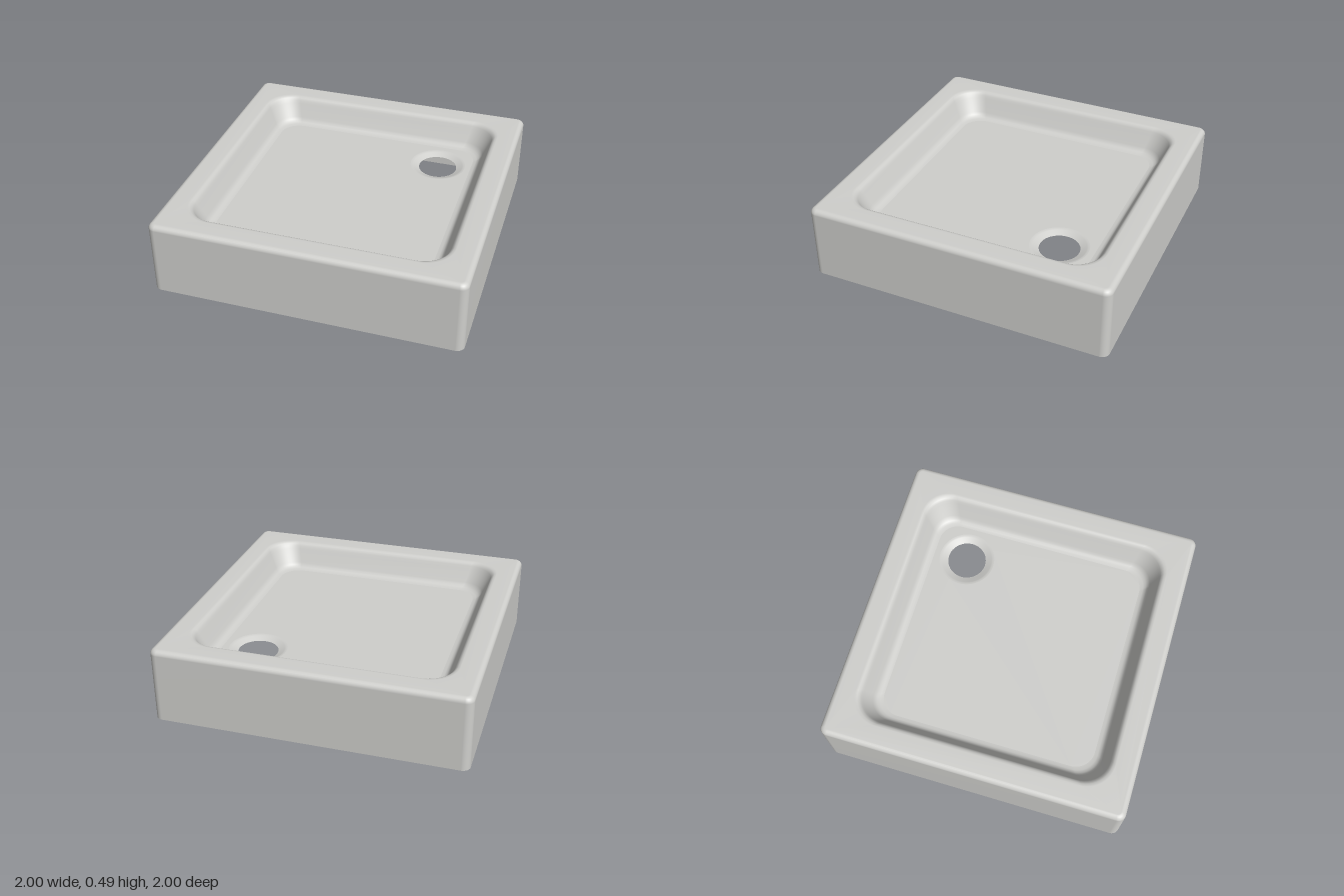
import * as THREE from 'three';

const FLOOR_Y = 0.315;
const DRAIN = { x: 0.487, z: -0.487, outer: 0.19 };
const CORNER_STEPS = 12;

// Outline of a square with half side h and corner radius r
function roundedSquare(h, r) {
  const points = [];
  for (let c = 0; c < 4; c++) {
    const mid = Math.PI / 4 + c * Math.PI / 2;
    const cx = Math.sign(Math.cos(mid)) * (h - r);
    const cy = Math.sign(Math.sin(mid)) * (h - r);
    for (let i = 0; i <= CORNER_STEPS; i++) {
      const t = (c + i / CORNER_STEPS) * Math.PI / 2;
      points.push(new THREE.Vector2(cx + r * Math.cos(t), cy + r * Math.sin(t)));
    }
  }
  return points;
}

// Smooth skin through square rings, each [half side, height, corner radius]
function loft(rings) {
  const positions = [], index = [];
  const n = 4 * (CORNER_STEPS + 1);
  rings.forEach(([h, y, r], k) => {
    roundedSquare(h, r).forEach((p, j) => {
      positions.push(p.x, y, p.y);
      if (k === rings.length - 1) return;
      const a = k * n + j, a2 = k * n + (j + 1) % n;
      index.push(a, a + n, a2, a2, a + n, a2 + n);
    });
  });
  const geometry = new THREE.BufferGeometry();
  geometry.setAttribute('position', new THREE.Float32BufferAttribute(positions, 3));
  geometry.setIndex(index);
  geometry.computeVertexNormals();
  return geometry;
}

export function createModel() {
  const group = new THREE.Group();
  group.name = 'showerTray';
  const enamel = new THREE.MeshStandardMaterial({ color: 0xcfcfcc, side: THREE.DoubleSide });
  enamel.name = 'paleGreyEnamel';

  const add = (name, geometry) => {
    const mesh = new THREE.Mesh(geometry, enamel);
    mesh.name = name;
    group.add(mesh);
    return mesh;
  };

  // Outer skirt, rounded top edge, flat rim and sloping basin wall
  const rings = [[1, 0, 0.05], [1, 0.455, 0.05]];
  for (let i = 1; i <= 6; i++) {
    const t = i / 6 * Math.PI / 2;
    rings.push([0.965 + 0.035 * Math.cos(t), 0.455 + 0.035 * Math.sin(t), 0.02 + 0.03 * Math.cos(t)]);
  }
  rings.push(
    [0.86, 0.49, 0.19], [0.845, 0.487, 0.185], [0.833, 0.479, 0.18], [0.823, 0.464, 0.175],
    [0.815, 0.445, 0.17], [0.772, 0.355, 0.15], [0.762, 0.338, 0.145],
    [0.75, 0.325, 0.14], [0.735, 0.318, 0.135], [0.715, FLOOR_Y, 0.13],
  );
  add('rimAndWalls', loft(rings));

  // Flat floor with an opening for the drain
  const floorShape = new THREE.Shape(roundedSquare(0.715, 0.13));
  const opening = new THREE.Path();
  opening.absarc(DRAIN.x, -DRAIN.z, DRAIN.outer, 0, Math.PI * 2, true);
  floorShape.holes.push(opening);
  const floor = add('basinFloor', new THREE.ShapeGeometry(floorShape, 24).rotateX(-Math.PI / 2));
  floor.position.y = FLOOR_Y;

  // Shallow dished ring around the drain hole
  const dishProfile = [[DRAIN.outer, 0], [0.18, -0.001], [0.17, -0.004], [0.145, -0.015], [0.13, -0.021]]
    .map(([r, y]) => new THREE.Vector2(r, y));
  const dish = add('drainDish', new THREE.LatheGeometry(dishProfile, 48));
  dish.position.set(DRAIN.x, FLOOR_Y, DRAIN.z);

  return group;
}
